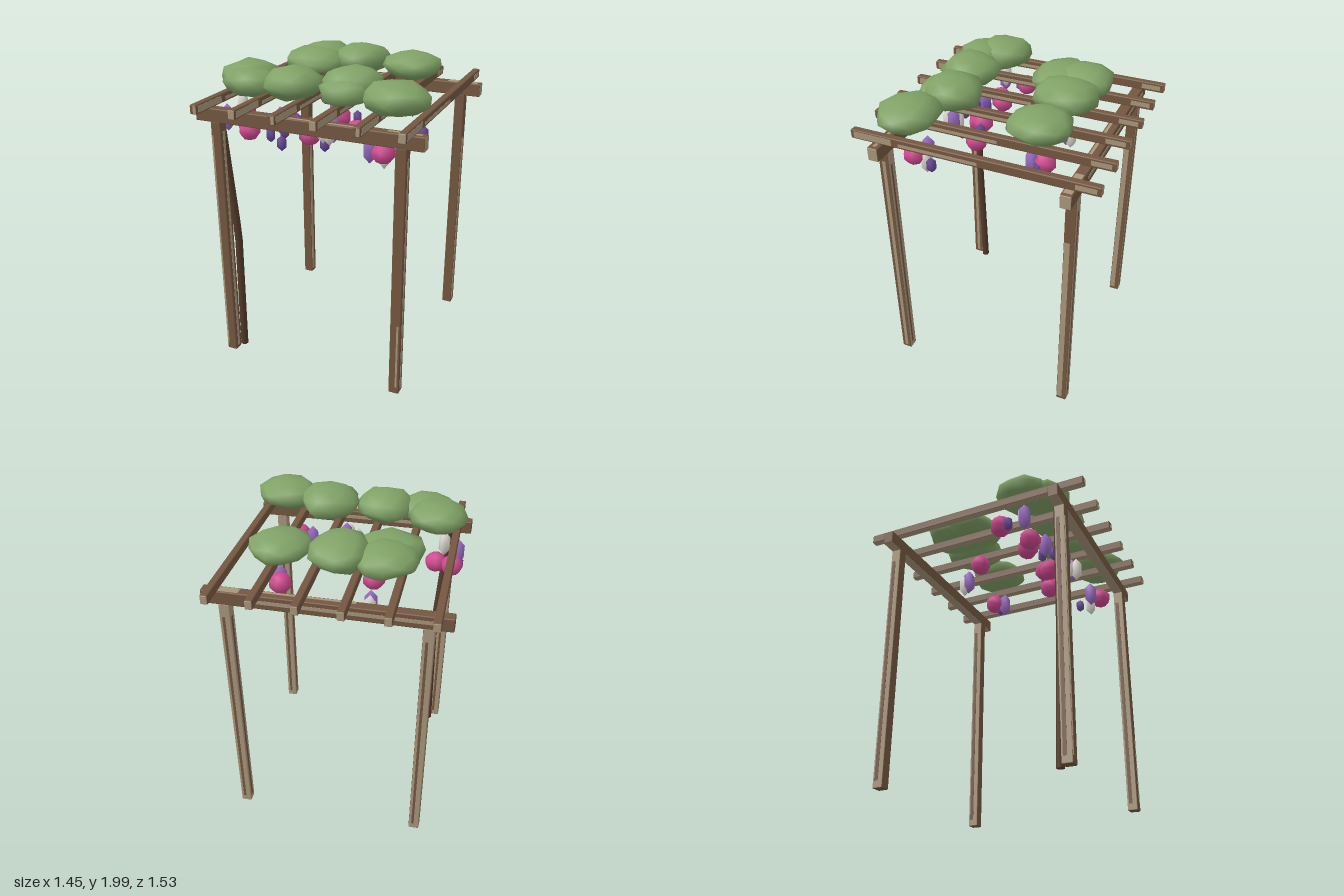
import * as THREE from 'three';
import { mergeVertices } from 'three/addons/utils/BufferGeometryUtils.js';
import { RoundedBoxGeometry } from 'three/addons/geometries/RoundedBoxGeometry.js';

function material(name, color) {
  const m = new THREE.MeshStandardMaterial({ color });
  m.name = name;
  return m;
}

export function createModel() {
  const group = new THREE.Group();
  group.name = 'floweringPergola';

  const brown = material('brownWood', 0x745740);
  const tan = material('weatheredWood', 0xa8967a);
  const bark = material('vineBark', 0x533b2a);
  const green = material('foliageGreen', 0x80a266);
  const pink = material('pinkBlossom', 0xcf4a90);
  const lilac = material('lilacBlossom', 0x9a6cc2);
  const violet = material('violetBlossom', 0x684a98);
  const white = material('whiteBlossom', 0xdfdbd3);

  let seed = 11;
  const rand = () => (seed = (seed * 16807) % 2147483647) / 2147483647;

  function add(name, geometry, mat, x, y, z) {
    const mesh = new THREE.Mesh(geometry, mat);
    mesh.name = name;
    mesh.position.set(x, y, z);
    group.add(mesh);
    return mesh;
  }
  // Bevelled timber; materials are ordered +x, -x, +y, -y, +z, -z
  const timber = (name, w, h, d, mats, x, y, z) =>
    add(name, new RoundedBoxGeometry(w, h, d, 1, 0.007), mats, x, y, z);
  // Thin strip of grain laid on a face
  const grain = (mat, w, h, d, x, y, z) =>
    add('woodGrain', new THREE.BoxGeometry(w, h, d), mat, x, y, z);

  // Corner posts, worn on the back and streaked on the sides
  for (const x of [-0.59, 0.59]) {
    for (const z of [-0.59, 0.59]) {
      timber('post', 0.068, 1.635, 0.068, [brown, tan, brown, brown, brown, tan], x, 0.8225, z);
      if (z > 0) grain(tan, 0.003, 1.55, 0.022, x + 0.034, 0.8, z);
      else grain(tan, 0.003, 1.3, 0.034, x + 0.034, 0.68, z + 0.012);
      grain(brown, 0.003, 1.5, 0.024, x - 0.034, 0.8, z - 0.01);
      grain(brown, 0.016, 1.5, 0.003, x + 0.008, 0.8, z - 0.034);
    }
  }
  grain(tan, 0.012, 1.5, 0.003, -0.615, 0.8, 0.624);
  grain(tan, 0.012, 0.45, 0.003, 0.605, 0.28, 0.624);

  // Two long beams, front and back
  for (const z of [-0.59, 0.59]) {
    timber('beam', 1.45, 0.086, 0.068, [tan, brown, brown, tan, brown, brown], 0, 1.677, z);
    grain(tan, 0.2, 0.003, z < 0 ? 0.05 : 0.02, 0.6, 1.72, z);
    grain(tan, 0.55, 0.003, 0.018, 0.1, 1.72, z + 0.015);
    grain(tan, 1.1, 0.024, 0.003, -0.1, 1.68, z - 0.034);
  }

  // Six rafters laid across the beams
  for (let i = 0; i < 6; i++) {
    const x = -0.64 + i * 0.2565;
    const end = i % 2 ? tan : brown;
    timber('rafter', 0.045, 0.058, 1.53, [brown, brown, brown, tan, end, tan], x, 1.747, 0);
    grain(tan, 0.003, 0.04, 0.25, x + 0.0225, 1.747, 0.62);
    grain(tan, 0.003, 0.02, 0.5, x + 0.0225, 1.74, 0.2);
    grain(tan, 0.003, 0.03, 0.12, x + 0.0225, 1.747, -0.68);
    grain(tan, 0.02, 0.045, 0.003, x + 0.01, 1.747, 0.765);
  }

  // Woody stem climbing one front post
  const stem = new THREE.CurvePath();
  const knots = [[-0.55, 0.005, 0.525], [-0.531, 0.86, 0.54], [-0.585, 1.64, 0.565]]
    .map((p) => new THREE.Vector3(...p));
  stem.add(new THREE.LineCurve3(knots[0], knots[1]));
  stem.add(new THREE.LineCurve3(knots[1], knots[2]));
  add('vineStem', new THREE.TubeGeometry(stem, 12, 0.025, 7, false), bark, 0, 0, 0);
  const foot = add('vineFoot', new THREE.CircleGeometry(0.025, 7), bark, -0.55, 0.006, 0.525);
  foot.rotation.x = Math.PI / 2;

  // Flattened, uneven leaf clumps: x, y, z, x radius, y radius, z radius
  const clumps = [
    [-0.3, 1.88, -0.33, 0.19, 0.095, 0.19], [-0.3, 1.87, -0.19, 0.2, 0.09, 0.19],
    [-0.025, 1.885, -0.31, 0.18, 0.1, 0.2], [0.34, 1.875, -0.295, 0.19, 0.09, 0.195],
    [-0.515, 1.865, 0.305, 0.18, 0.095, 0.18], [-0.43, 1.86, 0.43, 0.175, 0.085, 0.15],
    [-0.17, 1.87, 0.395, 0.185, 0.1, 0.185], [0.19, 1.89, 0.33, 0.19, 0.105, 0.185],
    [0.17, 1.865, 0.43, 0.155, 0.085, 0.14], [0.495, 1.865, 0.46, 0.205, 0.095, 0.185],
  ];
  for (const [x, y, z, rx, ry, rz] of clumps) {
    let geo = new THREE.IcosahedronGeometry(1, 1);
    geo.deleteAttribute('uv');
    geo.deleteAttribute('normal');
    geo = mergeVertices(geo, 1e-3);
    geo.rotateY(rand() * 6);
    const p = geo.attributes.position;
    for (let i = 0; i < p.count; i++) {
      const k = 0.9 + rand() * 0.2;
      p.setXYZ(i, p.getX(i) * k, p.getY(i) * k, p.getZ(i) * k);
    }
    geo.scale(rx, ry, rz);
    geo.computeVertexNormals();
    add('leafClump', geo, green, x, y, z);
  }

  // Hanging blossoms: round pink heads and pointed buds
  const head = new THREE.SphereGeometry(1, 7, 5);
  const bud = new THREE.SphereGeometry(1, 6, 3);
  const blossoms = [
    ['pinkBlossom', head, pink, 0.072, 0.066, [
      [-0.635, 1.585, 0.2], [-0.52, 1.515, 0.35], [-0.31, 1.6, 0.24], [-0.11, 1.53, 0.32],
      [0.05, 1.635, 0.215], [0.16, 1.56, 0.205], [0.44, 1.55, 0.49], [0.34, 1.64, -0.325],
      [-0.2, 1.645, -0.17]]],
    ['lilacBlossom', bud, lilac, 0.046, 0.09, [
      [-0.66, 1.59, 0.375], [0.34, 1.545, 0.45], [0.09, 1.62, 0.4], [-0.29, 1.61, 0.36],
      [-0.2, 1.53, -0.26], [0.36, 1.63, -0.25]]],
    ['whiteBlossom', bud, white, 0.041, 0.088, [
      [-0.57, 1.665, 0.33], [-0.2, 1.515, -0.29], [0.02, 1.6, 0.4], [0.08, 1.61, 0.44],
      [0.42, 1.51, 0.42]]],
    ['violetBlossom', bud, violet, 0.033, 0.05, [
      [-0.31, 1.545, 0.45], [0.02, 1.505, 0.38], [-0.2, 1.6, 0.3], [-0.24, 1.56, 0.4],
      [0.39, 1.615, -0.3], [-0.675, 1.56, 0.27], [0.605, 1.62, 0.275], [0.15, 1.63, 0.18],
      [-0.22, 1.51, 0.48]]],
  ];
  for (const [name, geo, mat, r, h, spots] of blossoms) {
    for (const [x, y, z] of spots) {
      const mesh = add(name, geo, mat, x, y, z);
      mesh.scale.set(r, h, r);
      mesh.rotation.y = rand() * 6;
    }
  }

  return group;
}
